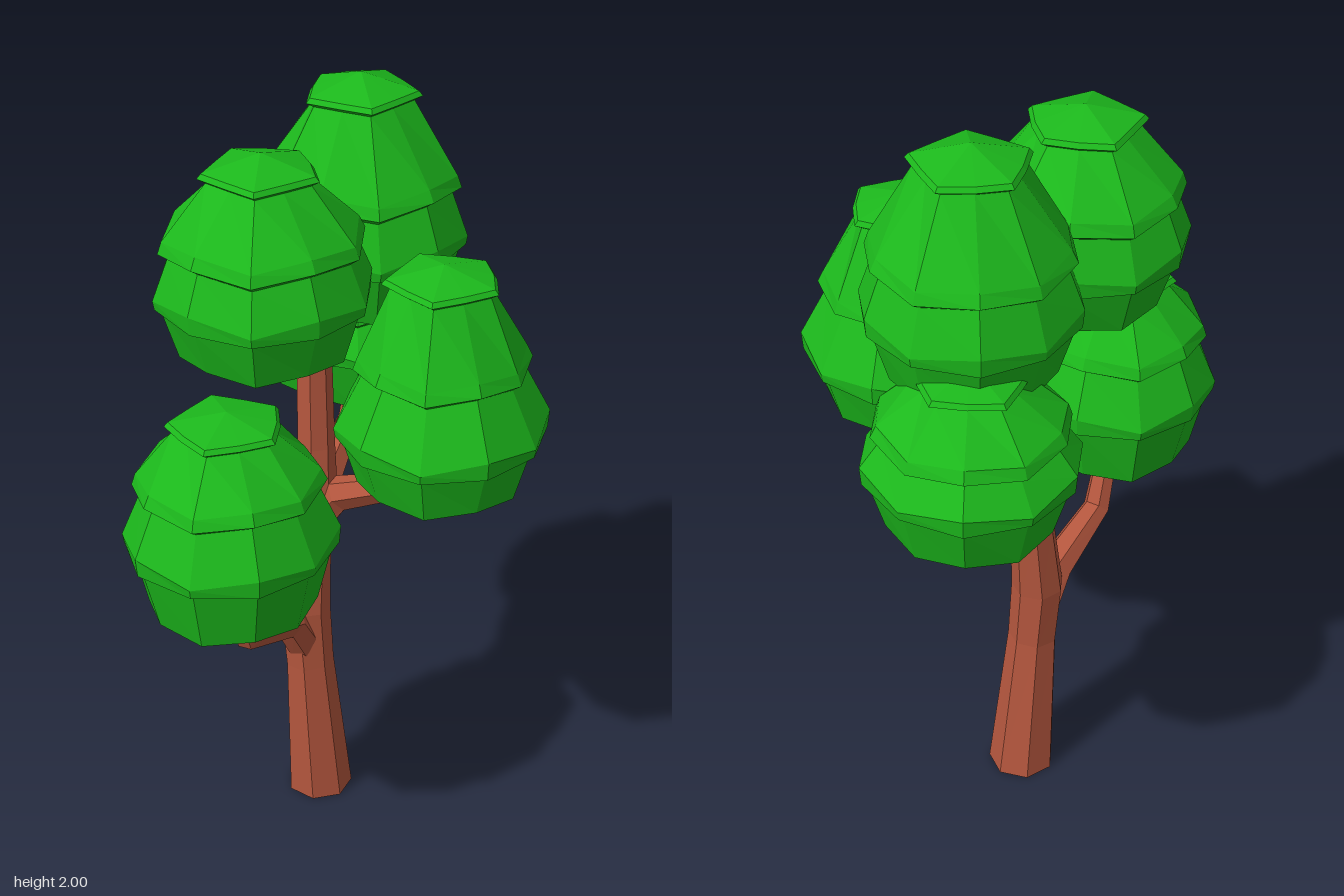
import * as THREE from 'three';

const bark = new THREE.MeshStandardMaterial({ color: 0xb5573e, flatShading: true });
const leaf = new THREE.MeshStandardMaterial({ color: 0x1cb81c, flatShading: true });

// Tapered faceted limb through points [x, y, z, radius]; ref fixes the twist.
function limb(name, points, sides, ref) {
  const centres = points.map(p => new THREE.Vector3(p[0], p[1], p[2]));
  const pos = [], index = [];
  centres.forEach((c, i) => {
    const t = centres[Math.min(i + 1, centres.length - 1)].clone()
      .sub(centres[Math.max(i - 1, 0)]).normalize();
    if (i === 0 && points[0][1] === 0) t.set(0, 1, 0); // flat foot
    const u = new THREE.Vector3().crossVectors(t, ref).normalize();
    const v = new THREE.Vector3().crossVectors(u, t);
    for (let s = 0; s < sides; s++) {
      const a = (s + 0.5) / sides * Math.PI * 2;
      const p = c.clone().addScaledVector(u, Math.cos(a) * points[i][3])
        .addScaledVector(v, Math.sin(a) * points[i][3]);
      pos.push(p.x, p.y, p.z);
      if (i > 0) {
        const n = (s + 1) % sides, A = (i - 1) * sides, B = i * sides;
        index.push(A + s, B + s, A + n, A + n, B + s, B + n);
      }
    }
  });
  // End caps
  const last = (points.length - 1) * sides;
  for (let s = 1; s < sides - 1; s++) {
    index.push(0, s, s + 1, last, last + s + 1, last + s);
  }
  const geo = new THREE.BufferGeometry();
  geo.setAttribute('position', new THREE.Float32BufferAttribute(pos, 3));
  geo.setIndex(index);
  geo.computeVertexNormals();
  const mesh = new THREE.Mesh(geo, bark);
  mesh.name = name;
  return mesh;
}

// Layered leaf clump; levels are the heights of base, skirt, middle ledge, cap rim and tip.
function clump(name, x, z, [base, skirt, ledge, rim, tip], turn, mid) {
  const rings = [ // radius, height, alternate-corner radius scale, zigzag height
    [0, base + 0.05, 1, 0], [0.12, base + 0.03, 0.85, 0], [0.205, base, 1, 0.006],
    [0.243, skirt - 0.005, 1, 0], [0.258, skirt, 1, 0], [0.262, skirt + 0.035, 1, 0.012],
    [mid - 0.012, ledge - 0.015, 1, 0.008], [mid + 0.01, ledge, 1, 0.008],
    [mid, ledge + 0.03, 0.98, 0.008],
    [0.128, rim - 0.012, 0.84, 0], [0.148, rim, 0.84, 0], [0.138, rim + 0.012, 0.84, 0],
    [0, tip, 1, 0],
  ];
  const n = 10;
  const geo = new THREE.LatheGeometry(rings.map(r => new THREE.Vector2(r[0], r[1])), n);
  const p = geo.attributes.position;
  for (let i = 0; i < p.count; i++) {
    const seg = Math.floor(i / rings.length) % n;
    const [r, y, scale, zig] = rings[i % rings.length];
    const odd = seg % 2;
    const wobble = 1 + 0.02 * Math.sin(seg * 2.3 + turn * 5);
    const a = seg / n * Math.PI * 2 + turn;
    const rad = r * (odd ? scale : 1) * wobble;
    p.setXYZ(i, Math.sin(a) * rad, y + (odd ? zig : -zig), Math.cos(a) * rad);
  }
  geo.computeVertexNormals();
  const mesh = new THREE.Mesh(geo, leaf);
  mesh.name = name;
  mesh.position.set(x, 0, z);
  return mesh;
}

export function createModel() {
  const tree = new THREE.Group();
  tree.name = 'tree';
  const X = new THREE.Vector3(1, 0, 0), Z = new THREE.Vector3(0, 0, 1);

  // Trunk and branches
  tree.add(
    limb('trunk', [[-0.15, 0, -0.025, 0.088], [-0.163, 0.43, 0.003, 0.065],
      [-0.172, 0.6, 0.008, 0.068], [-0.165, 0.82, -0.015, 0.056],
      [-0.155, 0.95, -0.02, 0.062], [-0.15, 1.08, -0.025, 0.05],
      [-0.155, 1.42, -0.03, 0.045]], 7, Z),
    limb('frontBranch', [[-0.165, 0.47, 0.01, 0.05], [-0.178, 0.6, 0.09, 0.048],
      [-0.195, 0.67, 0.29, 0.036], [-0.19, 0.86, 0.37, 0.028], [-0.19, 0.95, 0.39, 0.025]], 6, X),
    limb('backBranch', [[-0.165, 0.82, -0.02, 0.05], [-0.165, 0.93, -0.1, 0.05],
      [-0.185, 1.0, -0.32, 0.033], [-0.2, 1.13, -0.4, 0.027], [-0.2, 1.22, -0.41, 0.025]], 6, X),
    limb('leftBranch', [[-0.15, 0.86, -0.02, 0.05], [-0.08, 0.95, -0.02, 0.046],
      [0.13, 1.04, 0, 0.033], [0.19, 1.12, 0, 0.028], [0.2, 1.22, 0, 0.025]], 6, Z),
    limb('upperFrontBranch', [[-0.155, 1.33, -0.03, 0.035], [-0.17, 1.43, 0.02, 0.034],
      [-0.19, 1.55, 0.1, 0.025]], 6, X),
    limb('upperBackBranch', [[-0.155, 1.33, -0.03, 0.035], [-0.14, 1.43, -0.08, 0.034],
      [-0.12, 1.55, -0.18, 0.025]], 6, X),
  );

  // Foliage
  tree.add(
    clump('frontFoliage', -0.185, 0.385, [0.845, 1.01, 1.18, 1.33, 1.37], 0.1, 0.222),
    clump('upperFrontFoliage', -0.195, 0.155, [1.435, 1.56, 1.71, 1.88, 1.93], 0.35, 0.235),
    clump('topFoliage', -0.12, -0.245, [1.425, 1.56, 1.72, 1.945, 2.0], 0.6, 0.235),
    clump('leftFoliage', 0.205, 0.005, [1.085, 1.21, 1.4, 1.615, 1.66], 0.2, 0.205),
    clump('backFoliage', -0.2, -0.385, [1.105, 1.24, 1.36, 1.49, 1.53], 0.45, 0.225),
  );
  return tree;
}
